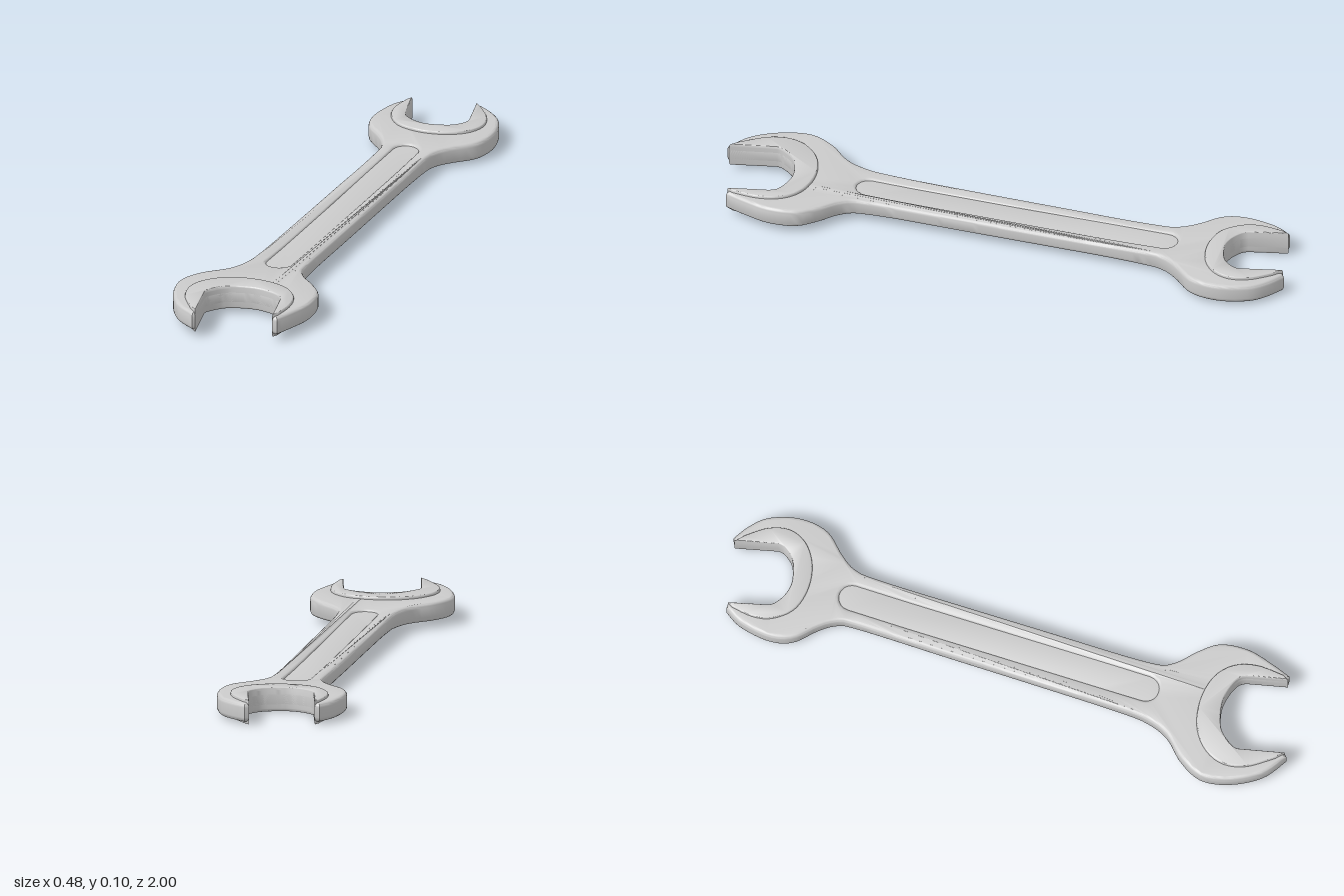
import * as THREE from 'three';
import { mergeVertices, toCreasedNormals } from 'three/addons/utils/BufferGeometryUtils.js';

const material = new THREE.MeshStandardMaterial({ color: 0xcccccc });

// Smooth curve through [x, z] points, sampled evenly
const smooth = (points, n) =>
  new THREE.SplineCurve(points.map(([x, z]) => new THREE.Vector2(x, z))).getSpacedPoints(n);

// Extrude an x-z outline around y = 0, then set the height of each vertex by a rule
function plate(name, outline, { height, bevel, rise, hole, rule }) {
  const shape = new THREE.Shape(outline);
  if (hole) shape.holes.push(new THREE.Path(hole));
  const depth = height - 2 * rise;
  let geo = new THREE.ExtrudeGeometry(shape, {
    depth, bevelEnabled: true, bevelThickness: rise, bevelSize: bevel,
    bevelOffset: -bevel, bevelSegments: 4,
  });
  geo.translate(0, 0, -depth / 2).rotateX(Math.PI / 2);
  const p = geo.attributes.position;
  for (let i = 0; i < p.count; i++) p.setY(i, rule(p.getY(i), p.getZ(i)));
  geo.deleteAttribute('uv');
  geo.deleteAttribute('normal');
  geo = toCreasedNormals(mergeVertices(geo, 1e-5), 0.6);
  const mesh = new THREE.Mesh(geo, material);
  mesh.name = name;
  return mesh;
}

// The tool lies at a slight tilt; the shank is thinner than the heads
const centre = z => 0.0485 + 0.0088 * z;
const thickness = z => 0.05 + 0.014 * THREE.MathUtils.smoothstep(Math.abs(z), 0.3, 0.72);
const bodyRule = (y, z) => centre(z) + y * thickness(z);
const bossRule = (y, z) => centre(z) + y;

// Rounded slot outline, with many points along its sides
function slot(halfWidth, z0, z1) {
  const pts = [];
  const arc = (zc, from) => {
    for (let i = 0; i <= 10; i++) {
      const a = from + (i / 10) * Math.PI;
      pts.push(new THREE.Vector2(halfWidth * Math.cos(a), zc + halfWidth * Math.sin(a)));
    }
  };
  const a = z0 + halfWidth, b = z1 - halfWidth, n = 24;
  arc(b, 0);
  for (let i = 1; i < n; i++) pts.push(new THREE.Vector2(-halfWidth, b + (a - b) * i / n));
  arc(a, Math.PI);
  for (let i = 1; i < n; i++) pts.push(new THREE.Vector2(halfWidth, a + (b - a) * i / n));
  return pts;
}

export function createModel() {
  const group = new THREE.Group();
  group.name = 'openEndWrench';

  // Outer edges, from back to front and front to back
  const rightEdge = smooth([
    [0.08, -1], [0.135, -0.965], [0.185, -0.91], [0.215, -0.81], [0.2, -0.71], [0.135, -0.635],
    [0.1, -0.58], [0.09, -0.5], [0.09, -0.2], [0.091, 0.1], [0.093, 0.45], [0.115, 0.535],
    [0.18, 0.6], [0.228, 0.665], [0.238, 0.76], [0.215, 0.85], [0.19, 0.92],
  ], 100);
  const leftEdge = smooth([
    [-0.085, 1], [-0.165, 0.945], [-0.222, 0.85], [-0.24, 0.75], [-0.2, 0.665], [-0.135, 0.595],
    [-0.105, 0.52], [-0.096, 0.42], [-0.092, 0.1], [-0.09, -0.2], [-0.087, -0.52], [-0.1, -0.585],
    [-0.135, -0.635], [-0.198, -0.7], [-0.218, -0.78], [-0.2, -0.885], [-0.165, -0.945],
  ], 100);

  // Jaw openings: straight gripping faces joined by a curved throat
  const frontJaw = [
    new THREE.Vector2(0.172, 0.92),
    ...smooth([[0.14, 0.785], [0.125, 0.762], [0.08, 0.743], [0.02, 0.737], [-0.06, 0.762],
      [-0.105, 0.812], [-0.112, 0.835]], 24),
    new THREE.Vector2(-0.077, 0.992),
  ];
  const backJaw = [
    new THREE.Vector2(-0.148, -0.945),
    ...smooth([[-0.114, -0.815], [-0.1, -0.795], [-0.06, -0.772], [-0.01, -0.765], [0.06, -0.787],
      [0.095, -0.825], [0.1, -0.85]], 24),
    new THREE.Vector2(0.066, -0.992),
  ];

  // Body with an opening along the shank
  group.add(plate('body', [...rightEdge, ...frontJaw, ...leftEdge, ...backJaw], {
    height: 1, bevel: 0.012, rise: 0.24, rule: bodyRule, hole: slot(0.043, -0.6, 0.52),
  }));

  // Thinner web closing the opening, leaving a shallow recess on both faces
  group.add(plate('shankWeb', slot(0.055, -0.612, 0.532), {
    height: 0.74, bevel: 0.004, rise: 0.02, rule: bodyRule,
  }));

  // Raised crescents around each jaw, on both faces
  const frontRim = smooth([[-0.105, 0.967], [-0.165, 0.88], [-0.178, 0.8], [-0.145, 0.73],
    [-0.075, 0.68], [0.02, 0.663], [0.11, 0.682], [0.168, 0.735], [0.19, 0.81], [0.184, 0.9]], 40);
  const backRim = smooth([[0.095, -0.967], [0.145, -0.9], [0.162, -0.83], [0.135, -0.765],
    [0.07, -0.72], [-0.015, -0.705], [-0.1, -0.725], [-0.155, -0.785], [-0.17, -0.85], [-0.16, -0.925]], 40);
  const boss = { height: 0.082, bevel: 0.004, rise: 0.01, rule: bossRule };
  group.add(plate('frontJawRim', [...frontJaw, ...frontRim], boss));
  group.add(plate('backJawRim', [...backJaw, ...backRim], boss));

  return group;
}
